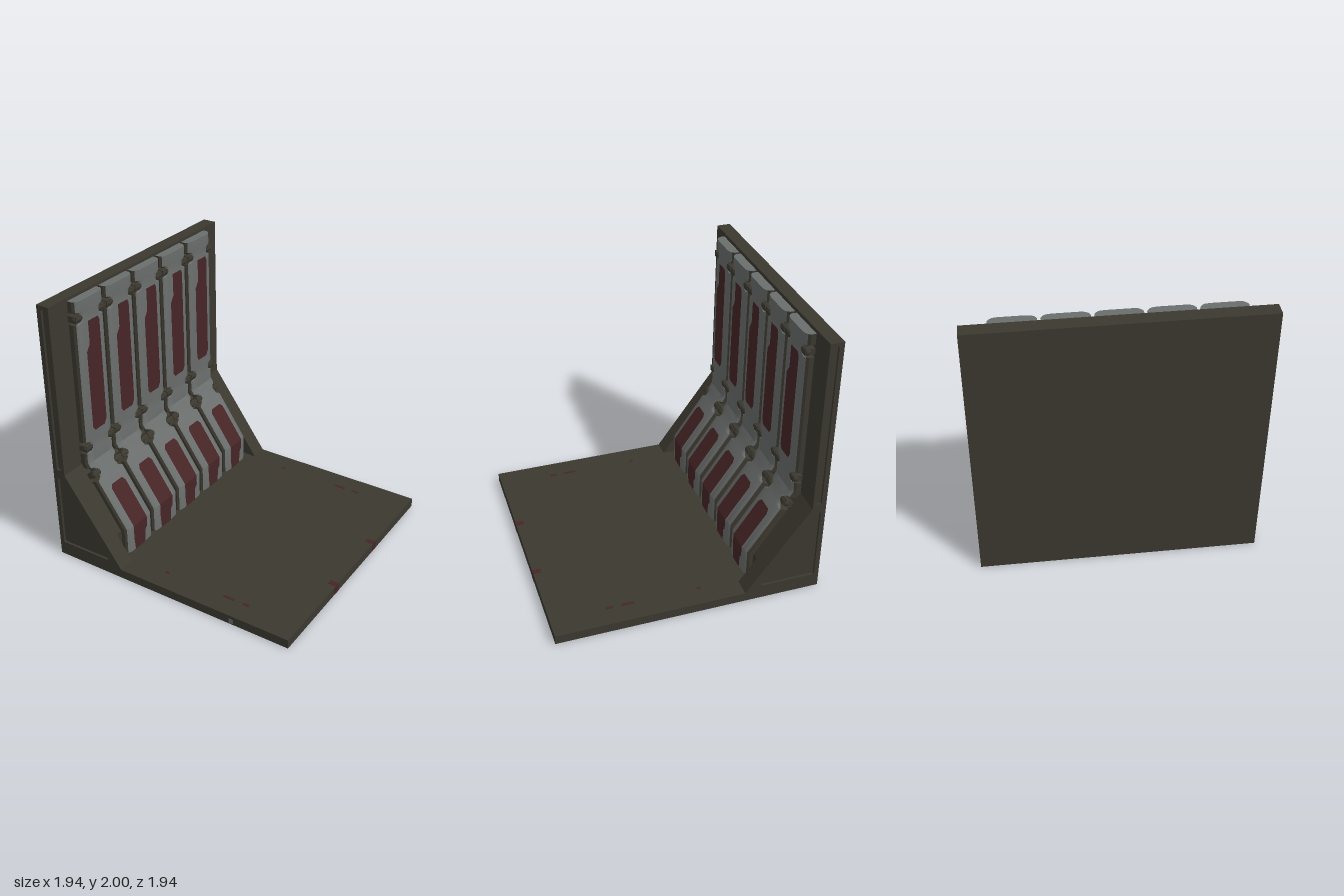
import * as THREE from 'three';
import { toCreasedNormals } from 'three/addons/utils/BufferGeometryUtils.js';

const mat = (name, color) => Object.assign(new THREE.MeshStandardMaterial({ color }), { name });
const olive = mat('dark olive', 0x3b382f);
const grey = mat('worn grey', 0x6a6e6c);
const red = mat('dark red', 0x472527);

function add(parent, name, geometry, material) {
  const mesh = new THREE.Mesh(geometry, material);
  mesh.name = name;
  parent.add(mesh);
  return mesh;
}

const polygon = (pts) => new THREE.Shape(pts.map(([x, y]) => new THREE.Vector2(x, y)));

// closed outline with softened corners
function softPolygon(pts, r) {
  const v = pts.map(([x, y]) => new THREE.Vector2(x, y));
  const path = new THREE.Path();
  v.forEach((p, i) => {
    const toward = (q) => p.clone().add(q.clone().sub(p).setLength(r));
    const a = toward(v[(i + v.length - 1) % v.length]);
    const b = toward(v[(i + 1) % v.length]);
    if (i) path.lineTo(a.x, a.y); else path.moveTo(a.x, a.y);
    path.quadraticCurveTo(p.x, p.y, b.x, b.y);
  });
  path.closePath();
  return path;
}

function slab(shape, z0, z1) {
  return new THREE.ExtrudeGeometry(shape, { depth: z1 - z0, bevelEnabled: false, curveSegments: 5 })
    .translate(0, 0, z0);
}

// padding path: front height, front x, back x, back height
const KEYS = [
  [1.985, -0.79, -0.86, 1.985], [0.74, -0.79, -0.86, 0.73],
  [0.28, -0.475, -0.53, 0.25], [0.065, -0.475, -0.53, 0.065],
];
function along(y) {
  let i = 0;
  while (i < 2 && y < KEYS[i + 1][0]) i++;
  const a = KEYS[i], b = KEYS[i + 1], t = (a[0] - y) / (a[0] - b[0]);
  const [, fx, bx, by] = a.map((v, k) => v + (b[k] - v) * t);
  return { fx, bx, by };
}

// clip rows notch the padding edges
const CLIPS = [1.86, 0.865, 0.66];
const HALF = 0.15;
const STATIONS = [[1.985, 1]];
CLIPS.forEach((y, i) => {
  if (i === 2) STATIONS.push([0.74, 1]);
  STATIONS.push([y + 0.045, 1], [y + 0.027, 0.74], [y - 0.027, 0.74], [y - 0.045, 1]);
});
STATIONS.push([0.28, 1], [0.065, 1]);

// half section: depth from back to front, share of half width
const HALF_SECTION = [[0, 1], [0.5, 1], [0.75, 0.92], [0.93, 0.8], [1, 0.58]];
const SECTION = [...HALF_SECTION, ...HALF_SECTION.slice().reverse().map(([t, w]) => [t, -w])];

function padGeometry(columns, cap) {
  const n = SECTION.length, pos = [], index = [];
  for (const [y, width] of STATIONS) {
    const { fx, bx, by } = along(y);
    for (const [t, w] of SECTION) {
      pos.push(bx + (fx - bx) * t, by + (y - by) * t, w * width * HALF);
    }
  }
  for (let i = 0; i < STATIONS.length - 1; i++) {
    for (const j of columns) {
      const a = i * n + j, c = i * n + (j + 1) % n;
      index.push(a, a + n, c, c, a + n, c + n);
    }
  }
  if (cap) for (let j = 1; j < n - 1; j++) index.push(0, j, j + 1);
  const g = new THREE.BufferGeometry();
  g.setAttribute('position', new THREE.Float32BufferAttribute(pos, 3));
  g.setIndex(index);
  return toCreasedNormals(g, 0.6);
}

// thin painted face laid over the padding front (u runs toward -z)
function patchGeometry(pts) {
  const g = new THREE.ShapeGeometry(polygon(pts)).toNonIndexed();
  const p = g.attributes.position;
  for (let i = 0; i < p.count; i++) {
    const u = p.getX(i), y = p.getY(i);
    p.setXYZ(i, along(y).fx + 0.004, y, -u);
  }
  g.computeVertexNormals();
  return g;
}

export function createModel() {
  const model = new THREE.Group();
  model.name = 'paddedCorner';

  // floor, wall and slope, with full gussets at both ends
  const frame = new THREE.Group();
  frame.name = 'frame';
  model.add(frame);
  const floorAndWall = [[-0.97, 0.002], [0.97, 0.002], [0.97, 0.07]];
  const wallTop = [[-0.87, 0.71], [-0.87, 2], [-0.97, 2]];
  const middle = [...floorAndWall, [-0.54, 0.07], [-0.54, 0.25], ...wallTop];
  const end = [...floorAndWall, [-0.41, 0.07], ...wallTop];
  add(frame, 'floorAndWall', slab(polygon(middle), -0.84, 0.84), olive);
  const rim = polygon(end);
  rim.holes.push(softPolygon([[-0.935, 0.11], [-0.525, 0.11], [-0.525, 0.14], [-0.905, 0.67], [-0.935, 0.67]], 0.014));
  rim.holes.push(softPolygon([[-0.935, 0.74], [-0.9, 0.74], [-0.9, 1.975], [-0.935, 1.975]], 0.012));
  for (const s of [1, -1]) {
    const span = (a, b) => (s > 0 ? [a, b] : [-b, -a]);
    add(frame, 'gusset', slab(polygon(end), ...span(0.84, 0.952)), olive);
    add(frame, 'recessedRim', slab(rim, ...span(0.952, 0.97)), olive);
  }

  // five padded columns
  const last = SECTION.length - 1;
  const sides = padGeometry([0, 1, last - 2, last - 1, last], false);
  const front = padGeometry([2, 3, 4, 5, 6], true);
  const upperPatch = patchGeometry([
    [-0.055, 0.98], [0.05, 0.98], [0.075, 1.02], [0.075, 1.79], [0.06, 1.82],
    [-0.042, 1.82], [-0.042, 1.65], [-0.075, 1.6], [-0.075, 1.01],
  ]);
  const slopePatch = patchGeometry([
    [-0.08, 0.28], [0.075, 0.28], [0.075, 0.54], [0.055, 0.565], [-0.06, 0.565], [-0.08, 0.54],
  ]);
  const footPatch = patchGeometry([
    [-0.07, 0.071], [0.045, 0.071], [0.05, 0.17], [0.075, 0.2], [0.075, 0.28], [-0.08, 0.28], [-0.08, 0.17],
  ]);
  const pin = new THREE.CapsuleGeometry(0.026, 0.035, 4, 10).rotateX(Math.PI / 2);
  const lug = new THREE.BoxGeometry(0.07, 0.045, 0.05);
  for (let k = -2; k <= 2; k++) {
    const column = new THREE.Group();
    column.name = 'paddedColumn';
    column.position.z = k * 0.323;
    model.add(column);
    add(column, 'paddingSides', sides, olive);
    add(column, 'paddingFront', front, grey);
    add(column, 'upperRedPatch', upperPatch, red);
    add(column, 'slopeRedPatch', slopePatch, red);
    add(column, 'footRedPatch', footPatch, red);
    // clips holding the edges
    for (const y of CLIPS) {
      const { fx, bx, by } = along(y);
      for (const s of [1, -1]) {
        const clip = new THREE.Group();
        clip.name = 'clip';
        clip.position.set((fx + bx) / 2, (y + by) / 2, s * 0.12);
        clip.rotation.z = y < 0.74 ? 0.6 : 0;
        column.add(clip);
        add(clip, 'clipPin', pin, olive).position.x = 0.014;
        add(clip, 'clipLug', lug, olive).position.z = s * 0.01;
      }
    }
  }

  // small stains on the floor plate
  const stains = new THREE.Group();
  stains.name = 'stains';
  model.add(stains);
  const plate = (name, w, h, d, x, y, z, m) =>
    add(stains, name, new THREE.BoxGeometry(w, h, d), m).position.set(x, y, z);
  for (const s of [1, -1]) {
    plate('edgeStain', 0.004, 0.066, 0.055, 0.97, 0.037, s * 0.295, red);
    plate('edgeTopStain', 0.06, 0.004, 0.04, 0.94, 0.07, s * 0.29, red);
    for (const [x, w] of [[-0.115, 0.03], [0.41, 0.09], [0.545, 0.05]]) {
      plate('floorStain', w, 0.004, 0.02, x, 0.07, s * 0.815, red);
    }
  }
  plate('sideMark', 0.03, 0.035, 0.004, 0.52, 0.027, 0.97, grey);
  const under = new THREE.ShapeGeometry(polygon([[0.88, -0.04], [0.77, 0.55], [0.67, 0.76], [0.67, 0.22]]));
  add(stains, 'undersideStain', under.rotateX(Math.PI / 2), red);

  return model;
}
